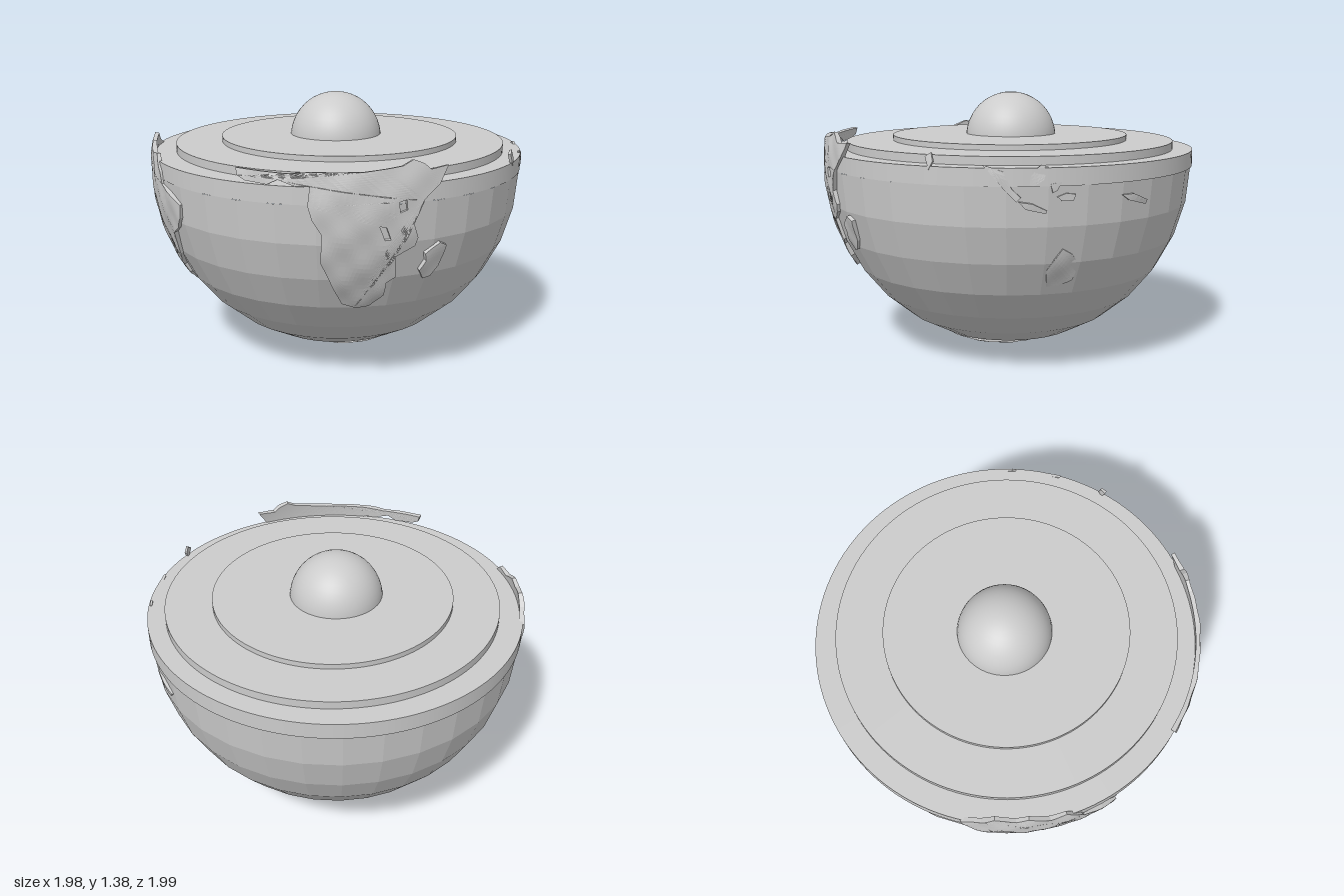
import * as THREE from 'three';

const CENTER_Y = 1.0;   // globe centre
const R = 0.986;        // globe radius

const material = (opts = {}) => new THREE.MeshStandardMaterial({ color: 0xcccccc, ...opts });

// Points seen from the front (x, y) or the side (z, y) become [longitude, latitude]
const clampRoot = (v) => Math.sqrt(Math.max(0, v));
const lat = (y) => Math.asin(y - CENTER_Y);
const fromFront = ([x, y]) => [Math.atan2(x, clampRoot(1 - x * x - (y - CENTER_Y) ** 2)), lat(y)];
const fromSide = ([z, y]) => [Math.atan2(clampRoot(1 - z * z - (y - CENTER_Y) ** 2), z), lat(y)];

// Directions on the sphere for globe patches and for the polar cap
const globeDir = (a, b) => new THREE.Vector3(Math.sin(a) * Math.cos(b), Math.sin(b), Math.cos(a) * Math.cos(b));
const polarDir = (a, b) => new THREE.Vector3(a, -clampRoot(1 - a * a - b * b), b);

// Split every triangle into four
function subdivide(tris) {
  const out = [];
  for (const [a, b, c] of tris) {
    const ab = a.clone().lerp(b, 0.5), bc = b.clone().lerp(c, 0.5), ca = c.clone().lerp(a, 0.5);
    out.push([a, ab, ca], [ab, b, bc], [ca, bc, c], [ab, bc, ca]);
  }
  return out;
}

// A thin slab with the given outline, wrapped onto the sphere with slight relief
function landPatch(name, outline, { dir = globeDir, holes = [], inner = 0.975, outer = 0.998, levels = 3 } = {}) {
  const toShape = (pts, Kind) => new Kind(pts.map(([a, b]) => new THREE.Vector2(a, b)));
  const shape = toShape(outline, THREE.Shape);
  shape.holes = holes.map((h) => toShape(h, THREE.Path));
  const flat = new THREE.ExtrudeGeometry(shape, { depth: 1, bevelEnabled: false }).toNonIndexed();
  const p = flat.attributes.position;
  let tris = [];
  for (let i = 0; i < p.count; i += 3) {
    tris.push([0, 1, 2].map((k) => new THREE.Vector3().fromBufferAttribute(p, i + k)));
  }
  for (let i = 0; i < levels; i++) tris = subdivide(tris);
  const points = tris.flat().map((v) => {
    const relief = 0.004 * Math.sin(v.x * 31 + 1) * Math.sin(v.y * 27 + v.x * 9);
    const radius = THREE.MathUtils.lerp(inner, outer + relief, v.z);
    const q = dir(v.x, v.y).multiplyScalar(radius);
    q.y += CENTER_Y;
    return q;
  });
  const geometry = new THREE.BufferGeometry().setFromPoints(points);
  geometry.computeVertexNormals();
  const mesh = new THREE.Mesh(geometry, material({ flatShading: true, side: THREE.DoubleSide }));
  mesh.name = name;
  return mesh;
}

export function createModel() {
  const group = new THREE.Group();
  const add = (name, geometry, x, y, z, opts) => {
    const mesh = new THREE.Mesh(geometry, material(opts));
    mesh.name = name;
    mesh.position.set(x, y, z);
    group.add(mesh);
  };

  // Faceted lower half of the globe
  add('lowerHemisphere', new THREE.SphereGeometry(R, 32, 8, 0, Math.PI * 2, Math.PI / 2, Math.PI / 2),
    0, CENTER_Y, 0, { flatShading: true });

  // Stepped layers on the cut face: [name, radius, bottom, top, x, z]
  const layers = [
    ['rimLayer', 0.988, 1.0, 1.085, -0.002, -0.006],
    ['middleLayer', 0.88, 1.05, 1.127, 0.012, -0.01],
    ['innerLayer', 0.634, 1.05, 1.155, 0.01, -0.01],
  ];
  for (const [name, r, y0, y1, x, z] of layers) {
    add(name, new THREE.CylinderGeometry(r, r, y1 - y0, 128), x, (y0 + y1) / 2, z);
  }

  // Core dome
  add('core', new THREE.SphereGeometry(0.245, 48, 24), -0.01, 1.135, -0.012);

  // Large southern continent facing the front, with two lakes
  const southernLand = [
    [-0.19, 1.155], [-0.18, 1.12], [-0.14, 1.1], [-0.03, 1.09], [0.02, 1.115], [0.1, 1.09], [0.17, 1.09],
    [0.16, 1.0], [0.18, 0.93], [0.22, 0.86], [0.205, 0.72], [0.25, 0.56], [0.27, 0.48], [0.32, 0.46],
    [0.39, 0.465], [0.46, 0.53], [0.48, 0.6], [0.52, 0.63], [0.53, 0.74], [0.61, 0.79], [0.625, 0.83],
    [0.61, 0.9], [0.65, 1.01], [0.71, 1.08], [0.74, 1.16], [0.67, 1.15], [0.64, 1.18], [0.6, 1.2],
    [0.56, 1.175], [0.49, 1.165], [0.4, 1.155], [0.17, 1.155], [0.05, 1.145],
  ].map(fromFront);
  const lakes = [
    [[0.55, 1.01], [0.58, 1.02], [0.585, 0.97], [0.555, 0.96]],
    [[0.47, 0.9], [0.5, 0.89], [0.515, 0.83], [0.49, 0.83]],
  ].map((h) => h.map(fromFront));
  group.add(landPatch('southernContinent', southernLand, { holes: lakes, levels: 4 }));

  // Long western continent tapering to the south
  const westernLand = [
    [-0.985, 1.08], [-0.96, 1.12], [-0.935, 1.165], [-0.9, 1.14], [-0.87, 1.155], [-0.82, 1.11], [-0.77, 1.12],
    [-0.72, 1.04], [-0.71, 0.98], [-0.63, 0.95], [-0.555, 0.91], [-0.56, 0.84], [-0.59, 0.78], [-0.635, 0.74],
    [-0.635, 0.61], [-0.69, 0.5], [-0.67, 0.45], [-0.69, 0.36], [-0.645, 0.3], [-0.7, 0.33], [-0.76, 0.44],
    [-0.82, 0.56], [-0.88, 0.66], [-0.925, 0.8], [-0.975, 0.93],
  ].map(fromFront);
  group.add(landPatch('westernContinent', westernLand, { levels: 4 }));

  // Island off the southern continent
  group.add(landPatch('longIsland', [
    [0.63, 0.6], [0.62, 0.65], [0.65, 0.7], [0.65, 0.74], [0.71, 0.79], [0.735, 0.77], [0.7, 0.66], [0.66, 0.61],
  ].map(fromFront)));

  // Eastern islands, outlined from the side
  const islands = [
    [[-0.085, 1.1], [-0.12, 1.09], [-0.18, 1.07], [-0.22, 0.99], [-0.26, 0.95], [-0.24, 0.93], [-0.19, 0.98], [-0.14, 1.04]],
    [[-0.25, 0.93], [-0.31, 0.92], [-0.375, 0.885], [-0.37, 0.87], [-0.28, 0.895]],
    [[-0.26, 1.04], [-0.3, 1.06], [-0.35, 1.1], [-0.38, 1.09], [-0.36, 1.03], [-0.31, 1.0]],
    [[-0.39, 1.01], [-0.44, 1.02], [-0.42, 0.98], [-0.4, 0.97]],
    [[-0.42, 0.95], [-0.46, 0.965], [-0.5, 0.96], [-0.49, 0.93], [-0.44, 0.93]],
    [[-0.7, 0.94], [-0.75, 0.94], [-0.81, 0.9], [-0.8, 0.88], [-0.73, 0.91]],
    [[0.19, 1.13], [0.16, 1.15], [0.15, 1.11], [0.17, 1.07]],
  ];
  islands.forEach((pts, i) => {
    group.add(landPatch(`easternIsland${i + 1}`, pts.map(fromSide), { outer: 0.99, levels: 2 }));
  });

  // Low eastern continent, barely above the globe surface
  group.add(landPatch('easternContinent', [
    [-0.35, 0.49], [-0.36, 0.58], [-0.4, 0.64], [-0.44, 0.69], [-0.48, 0.66], [-0.51, 0.6], [-0.47, 0.52], [-0.41, 0.49],
  ].map(fromSide), { inner: 0.965, outer: 0.984 }));

  // Polar land underneath
  group.add(landPatch('polarLand', [
    [-0.1, 0.08], [-0.06, 0.2], [0.03, 0.24], [0.1, 0.32], [0.2, 0.3], [0.25, 0.22], [0.34, 0.18], [0.36, 0.06],
    [0.28, -0.06], [0.18, -0.13], [0.06, -0.16], [-0.05, -0.1],
  ], { dir: polarDir, inner: 0.97, outer: 0.993 }));

  return group;
}
